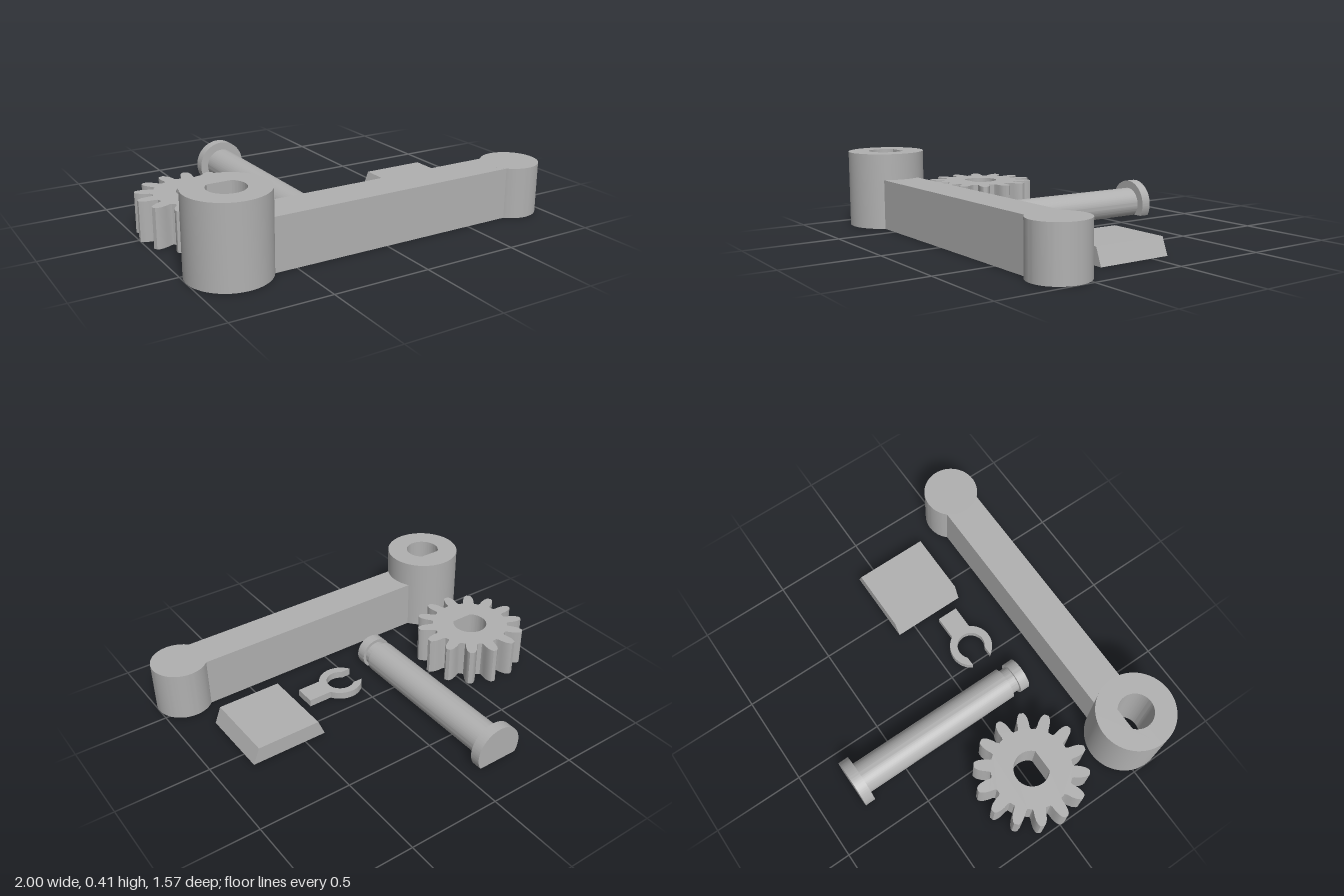
import * as THREE from 'three';
import { toCreasedNormals } from 'three/addons/utils/BufferGeometryUtils.js';

const grey = new THREE.MeshStandardMaterial({ color: 0xb0b0b0 });
grey.name = 'grey';

function extrude(shape, depth) {
  const geo = new THREE.ExtrudeGeometry(shape, { depth, bevelEnabled: false, curveSegments: 48 });
  return toCreasedNormals(geo, 0.5);
}

function addMesh(parent, name, geo, x, y, z) {
  const mesh = new THREE.Mesh(geo, grey);
  mesh.name = name;
  mesh.position.set(x, y, z);
  parent.add(mesh);
  return mesh;
}

// Plan outline (shape y = -z) raised from the ground
function addUpright(parent, name, shape, height, x, z) {
  return addMesh(parent, name, extrude(shape, height).rotateX(-Math.PI / 2), x, 0, z);
}

// Circle cut by a flat on its lower side, turned by an angle
function dOutline(Type, r, flat, turn = 0) {
  const a = Math.acos(flat / r);
  const path = new Type();
  path.absarc(0, 0, r, -Math.PI / 2 + a + turn, Math.PI * 1.5 - a + turn, false);
  path.closePath();
  return path;
}

function disc(r) {
  return new THREE.Shape().absarc(0, 0, r, 0, Math.PI * 2, false);
}

function makeCrank() {
  const crank = new THREE.Group();
  crank.name = 'crank';
  const z = 0.578;
  const hub = disc(0.207);
  hub.holes.push(dOutline(THREE.Path, 0.094, 0.072, Math.PI));
  addUpright(crank, 'crankHub', hub, 0.412, -0.793, z);
  addMesh(crank, 'crankArm', new THREE.BoxGeometry(1.45, 0.27, 0.204), 0.075, 0.135, z);
  addUpright(crank, 'crankEnd', disc(0.15), 0.2701, 0.85, z);
  return crank;
}

function makeGear() {
  const teeth = 14;
  // Half of a tooth flank: radius and half angle, root to tip
  const flank = [[0.212, 0.165], [0.222, 0.14], [0.25, 0.122], [0.275, 0.096], [0.292, 0.064], [0.3, 0.035]];
  const points = [];
  for (let i = 0; i < teeth; i++) {
    const mid = (i / teeth) * Math.PI * 2;
    const add = (r, a) => points.push(new THREE.Vector2(r * Math.cos(mid + a), r * Math.sin(mid + a)));
    flank.forEach(([r, a]) => add(r, -a));
    [...flank].reverse().forEach(([r, a]) => add(r, a));
  }
  const shape = new THREE.Shape(points);
  shape.holes.push(dOutline(THREE.Path, 0.094, 0.07));
  const holder = new THREE.Group();
  addUpright(holder, 'gear', shape, 0.21, -0.701, 0.013);
  return holder.children[0];
}

function makePin() {
  const pin = new THREE.Group();
  pin.name = 'pin';
  const flat = 0.067;
  // name, radius, back z, front z
  const sections = [
    ['pinHead', 0.133, -0.787, -0.73],
    ['pinShaft', 0.089, -0.73, 0.204],
    ['pinGroove', 0.072, 0.204, 0.252],
    ['pinTip', 0.089, 0.252, 0.307],
  ];
  for (const [name, r, z0, z1] of sections) {
    addMesh(pin, name, extrude(dOutline(THREE.Shape, r, flat), z1 - z0), -0.21, flat, z0);
  }
  return pin;
}

// Open ring with a slot on one side and a tab on the other
function makeClip() {
  const outer = 0.118, inner = 0.076, half = 0.058, tabEnd = 0.235;
  const tab = Math.asin(half / outer);
  const slotOut = Math.PI - tab;
  const slotIn = Math.PI - Math.asin(half / inner);
  const s = new THREE.Shape();
  s.absarc(0, 0, outer, -slotOut, -tab, false);
  s.lineTo(tabEnd, -half);
  s.lineTo(tabEnd, half);
  s.absarc(0, 0, outer, tab, slotOut, false);
  s.absarc(0, 0, inner, slotIn, -slotIn, true);
  s.closePath();
  const holder = new THREE.Group();
  addUpright(holder, 'retainingClip', s, 0.04, 0.085, 0.188);
  return holder.children[0];
}

// Slab with two sloping sides
function makeBlock() {
  const s = new THREE.Shape();
  s.moveTo(-0.212, 0);
  s.lineTo(0.212, 0);
  s.lineTo(0.176, 0.09);
  s.lineTo(-0.176, 0.09);
  s.closePath();
  const holder = new THREE.Group();
  return addMesh(holder, 'dovetailBlock', extrude(s, 0.407), 0.592, 0, -0.1);
}

export function createModel() {
  const model = new THREE.Group();
  model.name = 'crankKit';
  model.add(makeCrank(), makeGear(), makePin(), makeClip(), makeBlock());
  return model;
}
